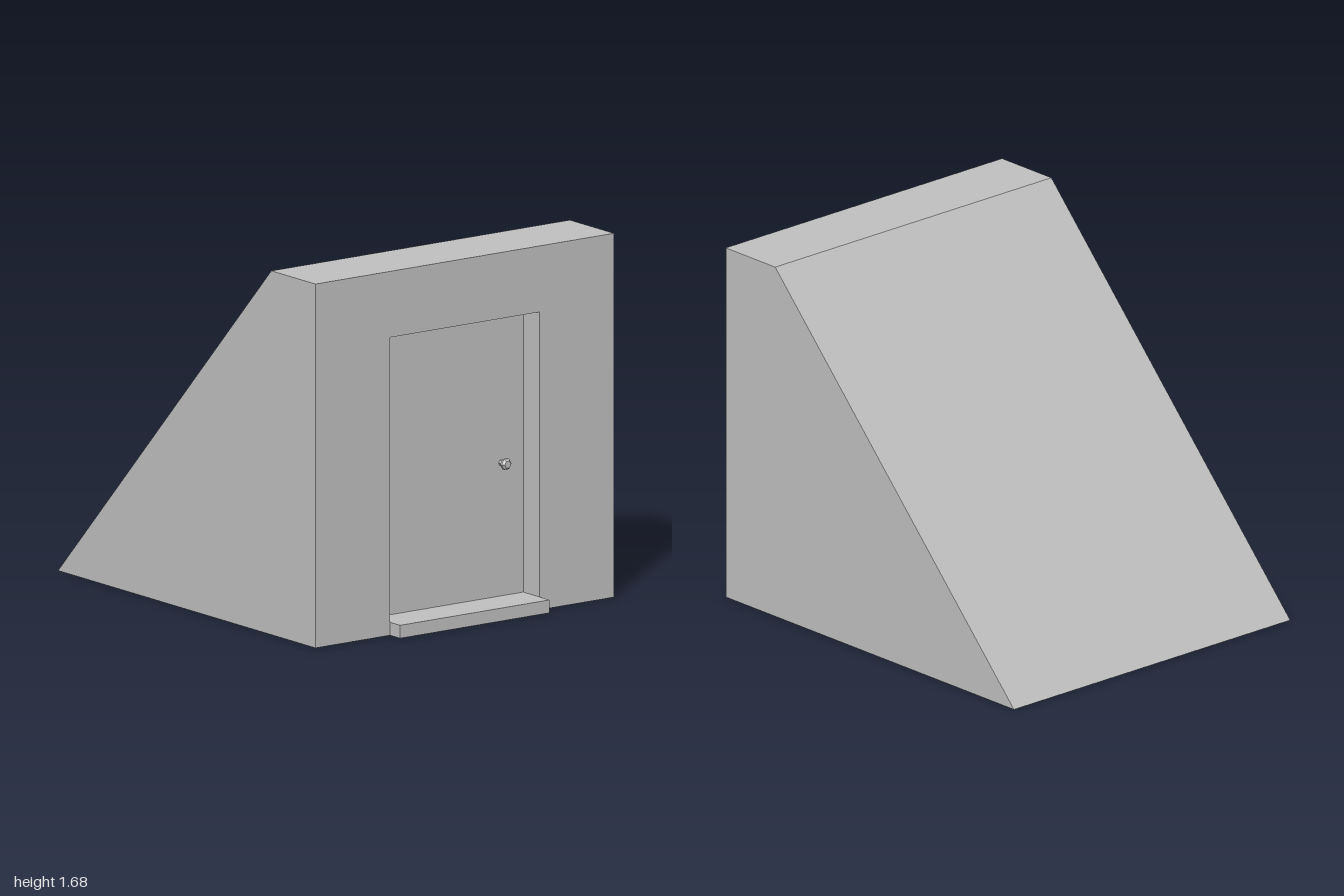
import * as THREE from 'three';

const HALF = 0.84, TOP = 1.68, FRONT = 0.925, DOOR_X = 0.805;
const DOOR_HALF = 0.42, DOOR_TOP = 1.375, STEP = 0.06;

const grey = new THREE.MeshStandardMaterial({ color: 0xc0c0c0 });
grey.name = 'concrete grey';
grey.flatShading = true;

function add(group, name, geometry, x = 0, y = 0, z = 0) {
  const mesh = new THREE.Mesh(geometry, grey);
  mesh.name = name;
  mesh.position.set(x, y, z);
  group.add(mesh);
  return mesh;
}

function extrude(points, depth) {
  const shape = new THREE.Shape(points.map(([x, y]) => new THREE.Vector2(x, y)));
  return new THREE.ExtrudeGeometry(shape, { depth, bevelEnabled: false });
}

export function createModel() {
  const group = new THREE.Group();
  group.name = 'stairwellEntrance';

  // Sloping body behind the door wall
  const back = DOOR_X - 0.005;
  add(group, 'slopedBody',
    extrude([[-1, 0], [back, 0], [back, TOP], [0.595, TOP]], HALF * 2), 0, 0, -HALF);

  // Front wall, with the doorway cut up from the ground
  const wall = extrude([
    [-HALF, 0], [-DOOR_HALF, 0], [-DOOR_HALF, DOOR_TOP], [DOOR_HALF, DOOR_TOP],
    [DOOR_HALF, 0], [HALF, 0], [HALF, TOP], [-HALF, TOP],
  ], FRONT - back);
  wall.rotateY(Math.PI / 2);
  add(group, 'doorWall', wall, back);

  // Recessed door panel
  add(group, 'door', new THREE.BoxGeometry(0.005, DOOR_TOP - STEP, DOOR_HALF * 2),
    DOOR_X - 0.0025, (DOOR_TOP + STEP) / 2, 0);

  // Threshold step, running from the door out past the wall
  add(group, 'doorStep', new THREE.BoxGeometry(1 - back, STEP, DOOR_HALF * 2),
    (1 + back) / 2, STEP / 2, 0);

  // Six-sided knob on a narrow stem
  const profile = [[0.014, 0], [0.014, 0.018], [0.028, 0.03], [0.028, 0.04], [0.018, 0.052], [0, 0.052]]
    .map(([r, h]) => new THREE.Vector2(r, h));
  const knob = add(group, 'doorKnob', new THREE.LatheGeometry(profile, 6), DOOR_X, 0.675, -0.295);
  knob.rotation.z = -Math.PI / 2;

  return group;
}
